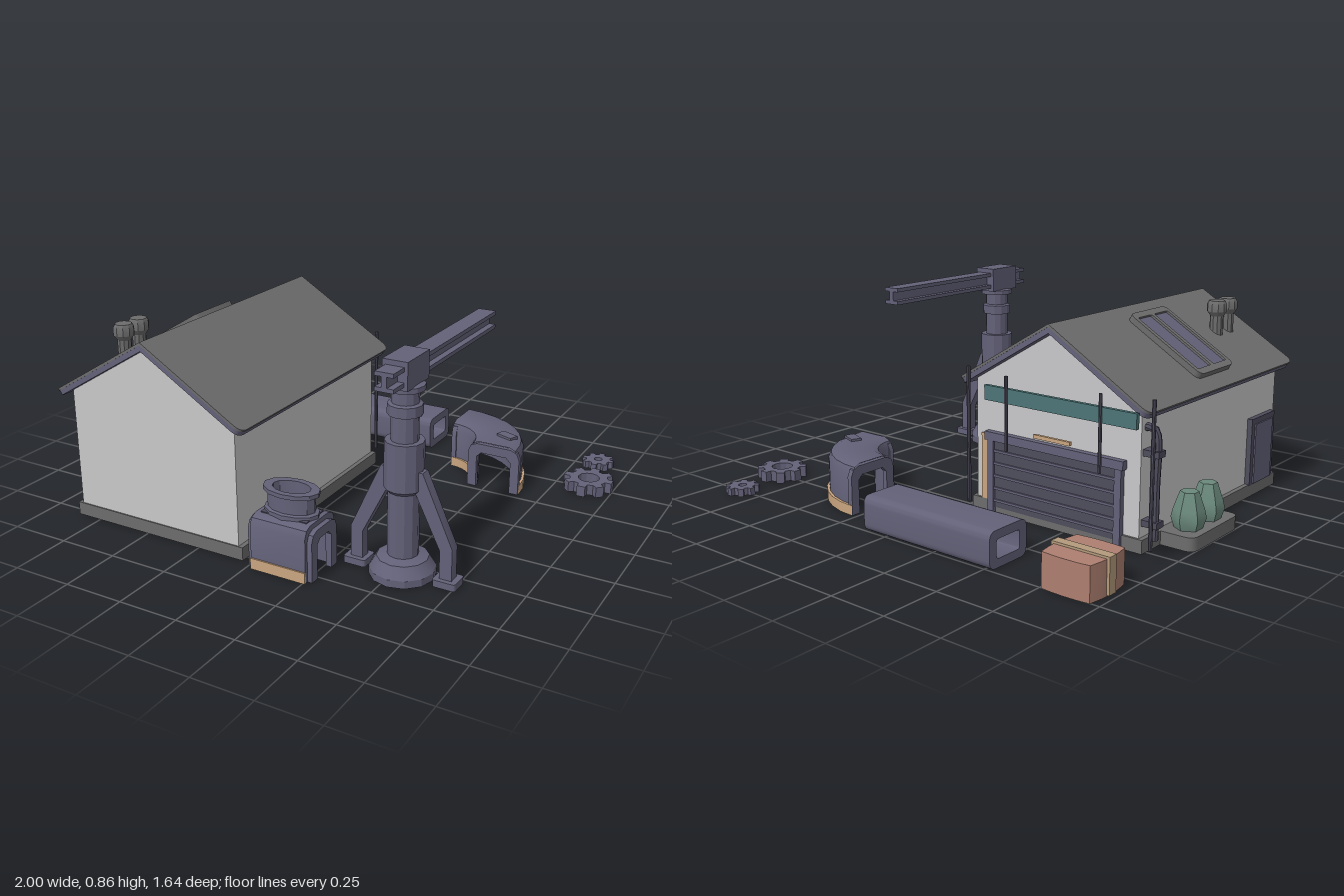
import * as THREE from 'three';
import { toCreasedNormals } from 'three/addons/utils/BufferGeometryUtils.js';

const material = (name, color) => {
  const m = new THREE.MeshStandardMaterial({ color });
  m.name = name;
  return m;
};

export function createModel() {
  const wall = material('wall grey', 0xc8c8ca), stone = material('roof grey', 0x6c6c6c);
  const metal = material('violet steel', 0x636178), dark = material('dark steel', 0x4e4c5c);
  const tan = material('tan trim', 0xc9a57f), clay = material('crate clay', 0xad7f70);
  const strap = material('crate strap', 0xb39a7c), teal = material('awning teal', 0x4d7577);
  const jade = material('jar green', 0x6b897d);

  const model = new THREE.Group();
  const group = (name, parent = model) => {
    const g = new THREE.Group();
    g.name = name;
    parent.add(g);
    return g;
  };
  const add = (parent, name, geo, mat, x = 0, y = 0, z = 0) => {
    const m = new THREE.Mesh(toCreasedNormals(geo, 0.5), mat);
    m.name = name;
    m.position.set(x, y, z);
    parent.add(m);
    return m;
  };
  // Box from its low and high limits on each axis
  const box = (parent, name, mat, x0, x1, y0, y1, z0, z1) => add(parent, name,
    new THREE.BoxGeometry(x1 - x0, y1 - y0, z1 - z0), mat, (x0 + x1) / 2, (y0 + y1) / 2, (z0 + z1) / 2);
  const rod = (parent, name, mat, r, y0, y1, x, z, sides = 8) => add(parent, name,
    new THREE.CylinderGeometry(r, r, y1 - y0, sides), mat, x, (y0 + y1) / 2, z);
  const points = (list) => list.map(([x, y]) => new THREE.Vector2(x, y));
  const extrude = (shape, depth) => new THREE.ExtrudeGeometry(shape, { depth, bevelEnabled: false, curveSegments: 6 });
  // Rectangle with separate corner radii at its low-x and high-x ends
  const rounded = (x0, x1, y0, y1, ra, rb) => {
    const s = new THREE.Shape();
    s.moveTo(x0 + ra, y0).lineTo(x1 - rb, y0).quadraticCurveTo(x1, y0, x1, y0 + rb);
    s.lineTo(x1, y1 - rb).quadraticCurveTo(x1, y1, x1 - rb, y1).lineTo(x0 + ra, y1);
    s.quadraticCurveTo(x0, y1, x0, y1 - ra).lineTo(x0, y0 + ra).quadraticCurveTo(x0, y0, x0 + ra, y0);
    return s;
  };
  // Flat rounded slab lying in xz, its top at y
  const slab = (parent, name, mat, shape, top, t) => add(parent, name, extrude(shape, t).rotateX(Math.PI / 2), mat, 0, top, 0);
  // Open-bottomed arch section, counterclockwise
  const arch = (a, b, h, t, c = 0.04) => points([[b, 0], [b, h - c], [b - c * 0.3, h - c * 0.3], [b - c, h],
    [a + c, h], [a + c * 0.3, h - c * 0.3], [a, h - c], [a, 0], [a + t, 0], [a + t, h - c - t * 0.5],
    [a + c + t * 0.5, h - t], [b - c - t * 0.5, h - t], [b - t, h - c - t * 0.5], [b - t, 0]]);

  // House shell
  const house = group('house');
  add(house, 'walls', extrude(new THREE.Shape(points([[-0.84, 0.02], [-0.06, 0.02], [-0.06, 0.552],
    [-0.45, 0.785], [-0.84, 0.552]])), 1.05), wall, 0, 0, -0.27);
  box(house, 'foundation', stone, -0.86, -0.04, 0, 0.055, -0.28, 0.785);
  slab(house, 'porch', stone, rounded(-1, -0.84, -0.15, 0.2, 0.04, 0.001), 0.055, 0.055);

  // Two roof slopes, each with local x running down from the ridge
  const slopes = [0, Math.PI].map((turn) => {
    const roof = group(turn ? 'rightRoofSlope' : 'leftRoofSlope', house);
    roof.position.set(-0.45, 0.82, 0.25);
    roof.rotation.set(0, turn, -Math.atan2(0.27, 0.45));
    slab(roof, 'roofCover', stone, rounded(0, 0.525, -0.57, 0.57, 0.001, 0.04), 0, 0.01);
    slab(roof, 'roofBoard', metal, rounded(0, 0.523, -0.568, 0.568, 0.001, 0.04), -0.01, 0.021);
    return roof;
  });

  // Skylight
  const skylight = group('skylight', slopes[1]);
  const frame = rounded(0.07, 0.455, -0.13, 0.13, 0.03, 0.03);
  for (const [a, b] of [[-0.11, -0.01], [0.01, 0.11]]) {
    frame.holes.push(rounded(0.1, 0.425, a, b, 0.01, 0.01));
    box(skylight, 'pane', metal, 0.1, 0.425, 0.008, 0.017, a, b);
  }
  slab(skylight, 'skylightFrame', stone, frame, 0.026, 0.025);

  // Roof vents
  for (const z of [0.565, 0.655]) add(house, 'roofVent', new THREE.LatheGeometry(points([[0, 0.64], [0.028, 0.64],
    [0.028, 0.755], [0.042, 0.775], [0.042, 0.805], [0.034, 0.82], [0, 0.82]]), 10), stone, -0.665, 0, z);

  // Garage door with slats
  const garage = group('garageDoor', house);
  box(garage, 'garagePanel', dark, -0.74, -0.16, 0.03, 0.31, -0.283, -0.26);
  for (const x of [-0.77, -0.16]) box(garage, 'garagePost', metal, x, x + 0.03, 0, 0.34, -0.293, -0.26);
  box(garage, 'garageLintel', metal, -0.78, -0.12, 0.31, 0.345, -0.297, -0.26);
  for (let i = 0; i < 5; i++) box(garage, 'slat', metal, -0.74, -0.16, 0.055 + i * 0.052, 0.065 + i * 0.052, -0.29, -0.28);
  box(garage, 'garageTrim', tan, -0.125, -0.09, 0.055, 0.33, -0.28, -0.268);

  // Hanging sign board on poles
  const sign = group('signBoard', house);
  box(sign, 'board', teal, -0.865, -0.16, 0.49, 0.55, -0.345, -0.328);
  for (const x of [-0.71, -0.27]) rod(sign, 'hanger', dark, 0.007, 0.3, 0.6, x, -0.345);
  for (const x of [-0.93, -0.07]) rod(sign, 'pole', dark, 0.008, 0.05, 0.61, x, -0.335);
  box(sign, 'lampBar', tan, -0.59, -0.42, 0.385, 0.4, -0.368, -0.355);

  // Side door, drain pipe and jars
  const door = group('sideDoor', house);
  box(door, 'doorFrame', dark, -0.862, -0.83, 0.05, 0.34, 0.55, 0.75);
  box(door, 'doorLeaf', metal, -0.868, -0.85, 0.055, 0.315, 0.575, 0.725);
  const drain = new THREE.CatmullRomCurve3([[-0.885, 0.05], [-0.885, 0.25], [-0.885, 0.45], [-0.87, 0.475], [-0.83, 0.475]]
    .map(([x, y]) => new THREE.Vector3(x, y, -0.235)), false, 'centripetal');
  add(house, 'drainPipe', new THREE.TubeGeometry(drain, 20, 0.016, 8), dark);
  for (const y of [0.1, 0.37]) box(house, 'pipeClamp', dark, -0.908, -0.83, y, y + 0.025, -0.258, -0.212);
  for (const z of [-0.05, 0.09]) add(house, 'jar', new THREE.LatheGeometry(points([[0, 0.055], [0.055, 0.055],
    [0.068, 0.095], [0.06, 0.13], [0.036, 0.2], [0, 0.2]]), 6), jade, -0.92, 0, z);

  // Crate with bulging sides and a strap
  const crate = group('crate');
  const body = new THREE.BoxGeometry(0.225, 0.135, 0.22, 4, 1, 4);
  const p = body.attributes.position;
  for (let i = 0; i < p.count; i++) {
    const x = p.getX(i), z = p.getZ(i);
    p.setX(i, x * (1 - 0.1 * (z / 0.11) ** 2));
    p.setZ(i, z * (1 - 0.06 * (x / 0.11) ** 2));
  }
  add(crate, 'crateBody', body, clay, -0.86, 0.0675, -0.65);
  box(crate, 'crateStrap', strap, -0.983, -0.737, 0.005, 0.144, -0.67, -0.63);

  // Straight duct
  const ductShape = rounded(-0.105, 0.105, 0, 0.145, 0.035, 0.035);
  ductShape.holes.push(rounded(-0.065, 0.065, 0.035, 0.11, 0.012, 0.012));
  add(model, 'straightDuct', extrude(ductShape, 0.635).rotateY(Math.PI / 2), metal, -0.53, 0, -0.65);

  // Bent duct, a quarter turn of the arch
  const bend = group('bentDuct');
  bend.position.set(0.27, 0, -0.28);
  const quarter = (pts) => new THREE.LatheGeometry([...pts, pts[0].clone()], 8, Math.PI / 2, Math.PI / 2);
  add(bend, 'bendShell', quarter(arch(0.155, 0.375, 0.21, 0.03)), metal);
  const lip = () => extrude(new THREE.Shape(arch(0.147, 0.383, 0.2, 0.04)), 0.022);
  add(bend, 'frontLip', lip(), metal, 0, 0, -0.02);
  add(bend, 'sideLip', lip().rotateY(Math.PI / 2), metal);
  for (const r of [0.146, 0.374]) add(bend, 'bendTrim',
    quarter(points([[r, 0], [r + 0.012, 0], [r + 0.012, 0.042], [r, 0.042]])), tan);
  const hatch = add(bend, 'hatch', new THREE.BoxGeometry(0.08, 0.03, 0.045), metal, 0.28, 0.205, -0.11);
  hatch.rotation.y = -0.35;

  // Duct junction with an oval neck
  const junction = group('ductJunction');
  const along = (w, h, t, len) => extrude(new THREE.Shape(arch(-w, w, h, t)), len).rotateY(Math.PI / 2);
  add(junction, 'junctionShell', along(0.105, 0.22, 0.03, 0.24), metal, 0.02, 0, 0.71);
  for (const x of [0, 0.255]) add(junction, 'junctionLip', along(0.09, 0.2, 0.04, 0.025), metal, x, 0, 0.71);
  for (const z of [0.6, 0.812]) box(junction, 'junctionTrim', tan, 0.02, 0.26, 0, 0.045, z, z + 0.009);
  const neck = new THREE.LatheGeometry(points([[0.08, 0.2], [0.115, 0.2], [0.115, 0.235], [0.1, 0.24], [0.1, 0.3],
    [0.118, 0.305], [0.118, 0.322], [0.08, 0.322], [0.08, 0.2]]), 12).scale(1, 1, 0.64);
  add(junction, 'junctionNeck', neck, metal, 0.14, 0, 0.71);
  box(junction, 'neckFloor', dark, 0.04, 0.24, 0.19, 0.224, 0.65, 0.77);

  // Crane
  const crane = group('crane');
  crane.position.set(0.53, 0, 0.56);
  add(crane, 'column', new THREE.LatheGeometry(points([[0, 0], [0.128, 0], [0.128, 0.03], [0.1, 0.075], [0.06, 0.085],
    [0.06, 0.34], [0.075, 0.355], [0.075, 0.54], [0.052, 0.54], [0.052, 0.64], [0.066, 0.64], [0.066, 0.68],
    [0.052, 0.685], [0.052, 0.735], [0.074, 0.735], [0.074, 0.755], [0.045, 0.76], [0, 0.765]]), 12), metal);
  box(crane, 'craneHead', metal, -0.05, 0.05, 0.755, 0.862, -0.085, 0.085);
  const beam = group('beam', crane);
  for (const y of [0.77, 0.826]) box(beam, 'flange', metal, -0.037, 0.037, y, y + 0.016, -0.715, 0.165);
  box(beam, 'web', metal, -0.011, 0.011, 0.78, 0.83, -0.715, 0.165);
  // Two mirrored struts with feet
  for (const s of [-1, 1]) {
    const strut = group(s < 0 ? 'rightStrut' : 'leftStrut', crane);
    if (s < 0) strut.rotation.y = Math.PI;
    add(strut, 'strutArm', extrude(new THREE.Shape(points([[0.05, 0.36], [0.16, 0.14], [0.16, 0.01], [0.21, 0.01],
      [0.21, 0.155], [0.085, 0.43], [0.05, 0.43]])), 0.044), metal, 0, 0, -0.022);
    slab(strut, 'foot', metal, rounded(0.14, 0.233, -0.042, 0.042, 0.012, 0.012), 0.028, 0.028);
  }

  // Loose gears
  const gear = (name, x, z, r, hole, height) => {
    const pts = [];
    for (let i = 0; i < 8; i++) {
      for (const [d, k] of [[-0.24, 0.76], [-0.17, 1], [0.17, 1], [0.24, 0.76]]) {
        const a = i * Math.PI / 4 + d;
        pts.push([Math.cos(a) * r * k, Math.sin(a) * r * k]);
      }
    }
    const shape = new THREE.Shape(points(pts));
    shape.holes.push(new THREE.Path().absarc(0, 0, hole, 0, Math.PI * 2, true));
    add(model, name, extrude(shape, height).rotateX(Math.PI / 2), metal, x, height, z);
  };
  gear('smallGear', 0.855, -0.755, 0.07, 0.018, 0.032);
  gear('largeGear', 0.893, -0.505, 0.107, 0.046, 0.047);

  return model;
}
